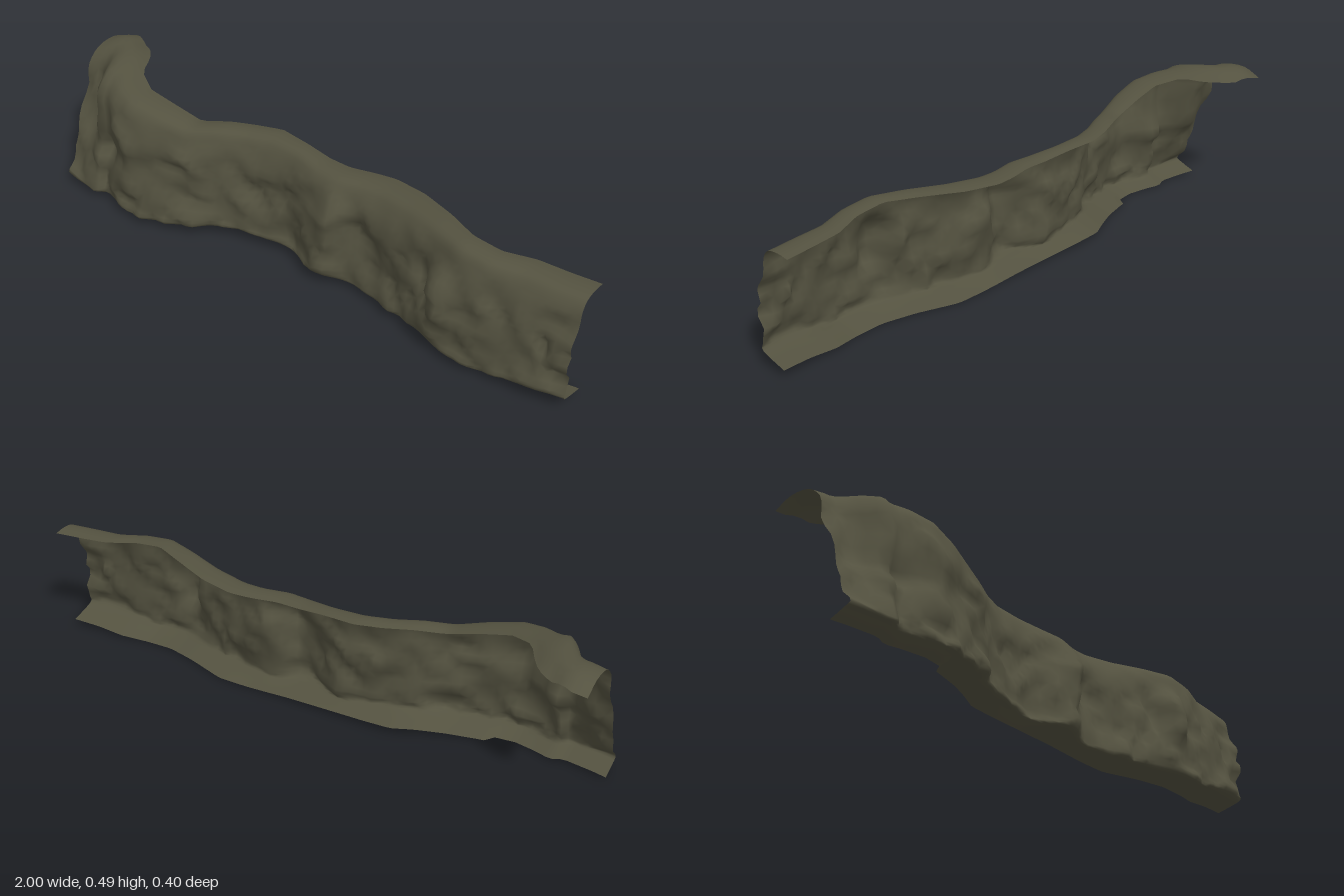
import * as THREE from 'three';

// Plan of the cliff, left to right: x, back edge z, front z, top y, bottom y
const stations = [
  [-1.0, -0.20, 0.15, 0.48, 0.016], [-0.95, -0.21, 0.16, 0.495, 0.016], [-0.85, -0.165, 0.178, 0.495, 0.013],
  [-0.81, -0.12, 0.16, 0.487, 0.012], [-0.76, -0.03, 0.178, 0.475, 0.01], [-0.68, 0.015, 0.195, 0.458, 0.008],
  [-0.58, 0.01, 0.18, 0.436, 0.01], [-0.47, 0.0, 0.145, 0.408, 0.016], [-0.38, -0.045, 0.10, 0.418, 0.026],
  [-0.30, -0.08, 0.06, 0.418, 0.028], [-0.21, -0.11, 0.03, 0.42, 0.024], [-0.10, -0.10, 0.028, 0.415, 0.022],
  [0.0, -0.09, 0.055, 0.405, 0.02], [0.08, -0.088, 0.065, 0.405, 0.018], [0.17, -0.11, 0.045, 0.407, 0.013],
  [0.24, -0.12, 0.045, 0.41, 0.01], [0.36, -0.10, 0.07, 0.418, 0.01], [0.49, -0.05, 0.11, 0.428, 0.013],
  [0.60, 0.0, 0.14, 0.43, 0.01], [0.70, 0.0, 0.14, 0.42, 0.008], [0.80, -0.038, 0.115, 0.412, 0.018],
  [0.90, -0.048, 0.115, 0.408, 0.026], [1.0, -0.06, 0.105, 0.407, 0.032],
];

// Outcrops on the wall: x, y, reach to the left, reach to the right, height, depth
const outcrops = [
  [0.07, 0.24, 0.06, 0.06, 0.14, 0.035],
  [0.53, 0.22, 0.025, 0.07, 0.11, 0.06],
  [-0.81, 0.25, 0.03, 0.03, 0.2, -0.025],
];

const { lerp, smoothstep } = THREE.MathUtils;

function planAt(x) {
  let k = 0;
  while (k < stations.length - 2 && stations[k + 1][0] < x) k++;
  const a = stations[k], b = stations[k + 1];
  const t = (x - a[0]) / (b[0] - a[0]);
  return a.map((v, i) => lerp(v, b[i], t));
}

// Seeded lattice noise in -1..1
function hash(i, j, seed) {
  const s = Math.sin(i * 127.1 + j * 311.7 + seed * 74.7) * 43758.5453;
  return (s - Math.floor(s)) * 2 - 1;
}
function noise(x, y, seed) {
  const i = Math.floor(x), j = Math.floor(y), u = x - i, v = y - j;
  const top = lerp(hash(i, j, seed), hash(i + 1, j, seed), u);
  const low = lerp(hash(i, j + 1, seed), hash(i + 1, j + 1, seed), u);
  return lerp(top, low, v);
}

// C-shaped section: backward lip on top, rugged wall, foot sloping down and back
function sectionAt(x) {
  const [, zb, zf, yt, yb] = planAt(x);
  // The wall leans back at the left end
  const lean = 1 - smoothstep(x, -0.93, -0.83);
  const wallZ = (z, y) => lerp(z, 0.155 - 0.4 * y, lean);
  const upper = wallZ(zf - 0.035, yt - 0.12), lower = zf - 0.012, d = upper - zb;
  const droop = 0.005 + 0.03 * smoothstep(d, 0.16, 0.24) * smoothstep(-x, 0.7, 0.9);
  const footBack = Math.max(zf - (x < -0.6 ? 0.08 : 0.11), -0.045);
  const points = [
    [zb, yt - droop], [zb + d * 0.3, yt], [zb + d * 0.68, yt - 0.008], [zb + d * 0.9, yt - 0.05],
    [upper, yt - 0.12], [wallZ(zf - 0.035, 0.24), 0.24], [wallZ(lower - 0.012, 0.16), 0.16],
    [wallZ(lower, 0.08), 0.08], [lower, yb + 0.03], [lerp(lower, footBack, 0.3), yb + 0.018], [footBack, yb],
  ];
  return new THREE.CatmullRomCurve3(points.map(([z, y]) => new THREE.Vector3(x, y, z)), false, 'centripetal');
}

function outcropAt(x, y) {
  return outcrops.reduce((sum, [cx, cy, left, right, height, depth]) => {
    const u = (x - cx) / (x < cx ? left : right), v = (y - cy) / height;
    return sum + depth * Math.exp(-u * u - v * v);
  }, 0);
}

function cliffGeometry(columns, rows) {
  const positions = [], index = [];
  for (let i = 0; i <= columns; i++) {
    const x = -1 + (2 * i) / columns;
    const curve = sectionAt(x);
    for (let j = 0; j <= rows; j++) {
      const t = j / rows, p = curve.getPoint(t);
      // Rock relief fades out on the smooth lip and on the foot
      const rough = smoothstep(t, 0.22, 0.42) * (1 - smoothstep(t, 0.76, 0.88));
      const relief = 0.016 * noise(x * 11, p.y * 13, 1) + 0.019 * noise(x * 21, p.y * 23, 2);
      const edge = Math.min(1, (1 - Math.abs(x)) * 20);
      p.z += rough * (relief + outcropAt(x, p.y));
      p.x += rough * edge * 0.014 * noise(x * 15, p.y * 17, 3);
      p.y += rough * 0.01 * noise(x * 15, p.y * 17, 4);
      positions.push(p.x, p.y, p.z);
      if (i < columns && j < rows) {
        const a = i * (rows + 1) + j, b = a + 1, c = a + rows + 1, e = c + 1;
        if ((i + j) % 2) index.push(a, b, c, b, e, c);
        else index.push(a, b, e, a, e, c);
      }
    }
  }
  const geometry = new THREE.BufferGeometry();
  geometry.setAttribute('position', new THREE.Float32BufferAttribute(positions, 3));
  geometry.setIndex(index);
  geometry.computeVertexNormals();
  // Rest on the ground
  geometry.computeBoundingBox();
  geometry.translate(0, -geometry.boundingBox.min.y, 0);
  return geometry;
}

export function createModel() {
  const group = new THREE.Group();
  group.name = 'cliffSection';
  const rock = new THREE.MeshStandardMaterial({ color: 0x545240, side: THREE.DoubleSide });
  rock.name = 'mossy rock';
  const wall = new THREE.Mesh(cliffGeometry(88, 30), rock);
  wall.name = 'cliffWall';
  group.add(wall);
  return group;
}
